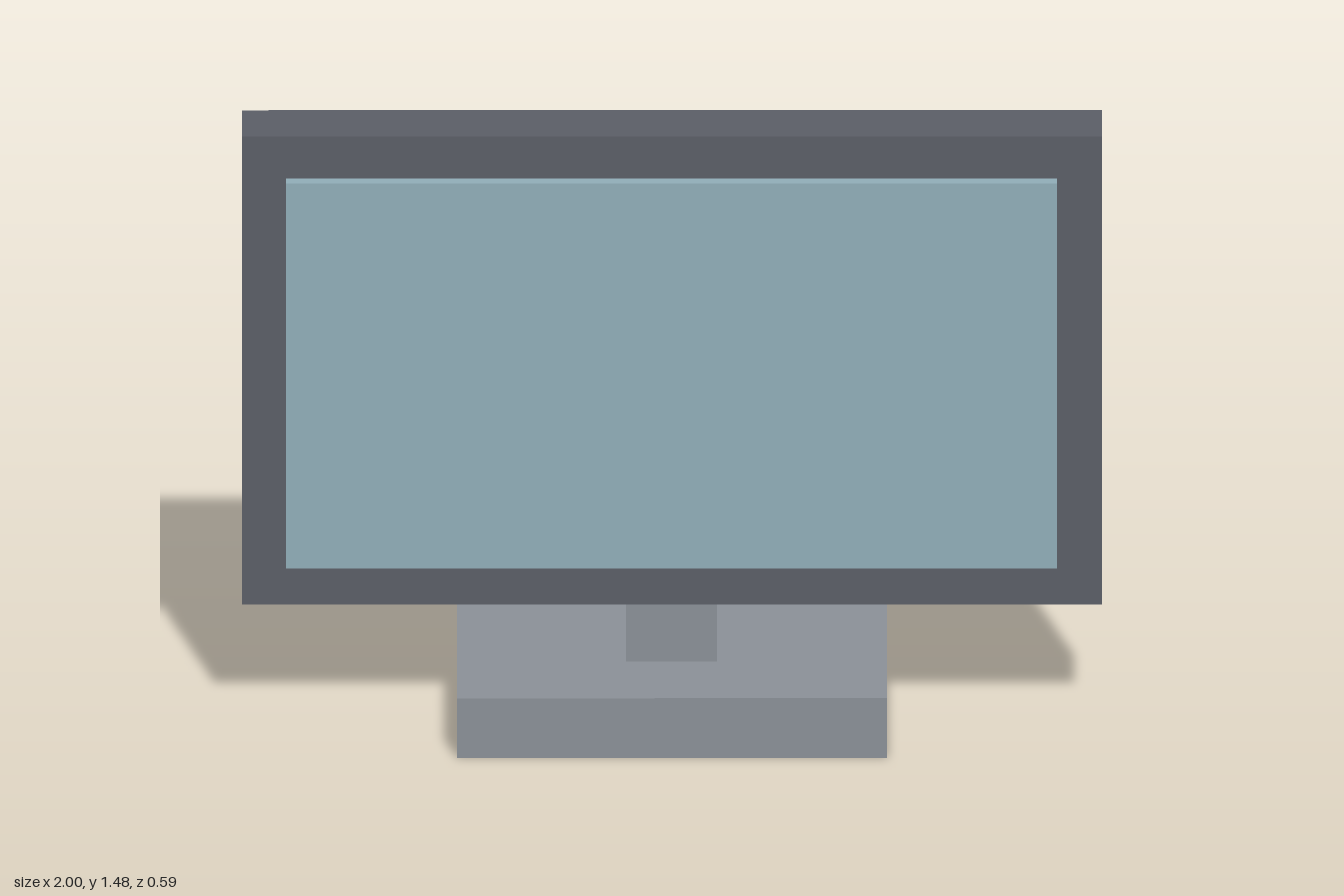
import * as THREE from 'three';

const material = (name, color) => {
  const m = new THREE.MeshStandardMaterial({ color });
  m.name = name;
  return m;
};

export function createModel() {
  const group = new THREE.Group();
  group.name = 'monitor';

  const casingGrey = material('dark casing grey', 0x5c5f68);
  const screenBlue = material('pale screen blue', 0x92afba);
  const standGrey = material('stand grey', 0x8c9299);

  // Box given by its lower and upper limits on each axis
  const addBox = (name, mat, [x0, x1], [y0, y1], [z0, z1]) => {
    const mesh = new THREE.Mesh(new THREE.BoxGeometry(x1 - x0, y1 - y0, z1 - z0), mat);
    mesh.position.set((x0 + x1) / 2, (y0 + y1) / 2, (z0 + z1) / 2);
    mesh.name = name;
    group.add(mesh);
  };

  // Stand
  addBox('base', standGrey, [-0.5, 0.5], [0, 0.15], [-0.295, 0.295]);
  addBox('neck', standGrey, [-0.107, 0.105], [0.15, 0.297], [-0.073, 0.073]);

  // Display
  addBox('casing', casingGrey, [-1, 1], [0.297, 1.475], [-0.08, 0.08]);
  addBox('screen', screenBlue, [-0.897, 0.895], [0.4, 1.37], [0.08, 0.112]);

  return group;
}
